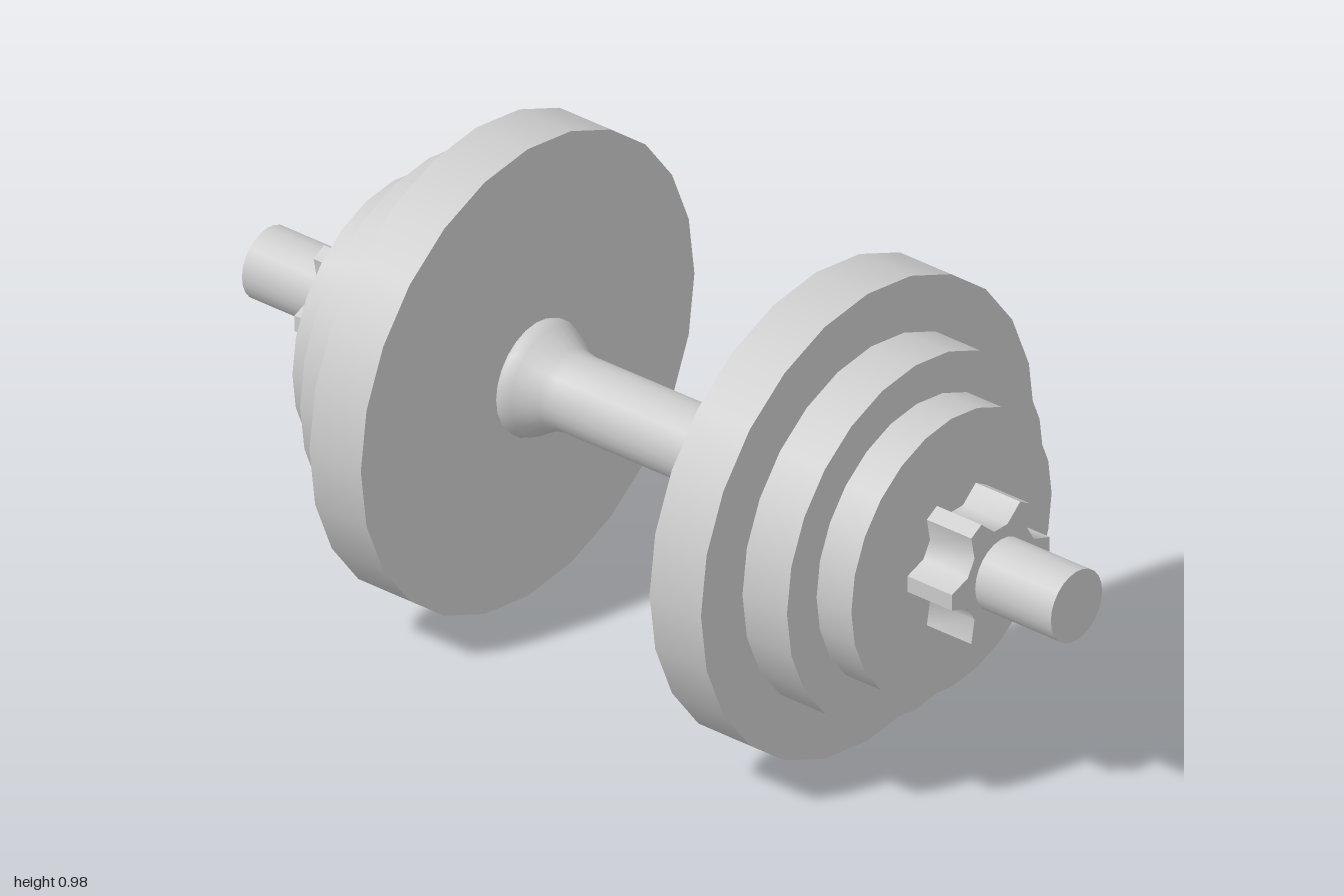
import * as THREE from 'three';
import { toCreasedNormals } from 'three/addons/utils/BufferGeometryUtils.js';

const SIDES = 24;
const AXIS_Y = 0.491;

export function createModel() {
  const model = new THREE.Group();
  model.name = 'dumbbell';
  const material = new THREE.MeshStandardMaterial({ color: 0xcccccc });

  const add = (name, geometry, x = 0) => {
    const mesh = new THREE.Mesh(geometry, material);
    mesh.name = name;
    mesh.position.set(x, AXIS_Y, 0);
    model.add(mesh);
  };

  // Cylinder lying along x
  const disc = (radius, width) =>
    new THREE.CylinderGeometry(radius, radius, width, SIDES).rotateZ(Math.PI / 2);

  // Bar through everything
  add('bar', disc(0.075, 2));

  // Grip with a flared collar at each end
  const half = [[0.078, 0.13], [0.078, 0.235], [0.083, 0.26], [0.111, 0.305],
    [0.12, 0.325], [0.117, 0.336], [0.1, 0.345], [0.07, 0.348]];
  const profile = [
    ...half.map(([r, y]) => new THREE.Vector2(r, -y)).reverse(),
    ...half.map(([r, y]) => new THREE.Vector2(r, y)),
  ];
  add('grip', toCreasedNormals(
    new THREE.LatheGeometry(profile, SIDES).rotateZ(Math.PI / 2), 0.8));

  // Six-lobed locking nut outline
  const outline = [];
  for (let i = 0; i < 6; i++) {
    for (const [radius, degrees] of [[0.144, -6.8], [0.144, 6.8], [0.102, 19], [0.102, 41]]) {
      const a = THREE.MathUtils.degToRad(i * 60 + degrees);
      outline.push(new THREE.Vector2(radius * Math.cos(a), radius * Math.sin(a)));
    }
  }
  const nutWidth = 0.11;
  const nut = toCreasedNormals(
    new THREE.ExtrudeGeometry(new THREE.Shape(outline), { depth: nutWidth, bevelEnabled: false })
      .translate(0, 0, -nutWidth / 2)
      .rotateY(Math.PI / 2), 0.9);

  // Plates: radius, inner x, outer x
  const plates = [
    ['largePlate', 0.488, 0.357, 0.484],
    ['mediumPlate', 0.376, 0.492, 0.602],
    ['smallPlate', 0.293, 0.605, 0.691],
  ];
  for (const [side, sign] of [['left', 1], ['right', -1]]) {
    for (const [name, radius, inner, outer] of plates) {
      add(`${side} ${name}`, disc(radius, outer - inner), sign * (inner + outer) / 2);
    }
    add(`${side} lockingNut`, nut, sign * 0.758);
  }
  return model;
}
